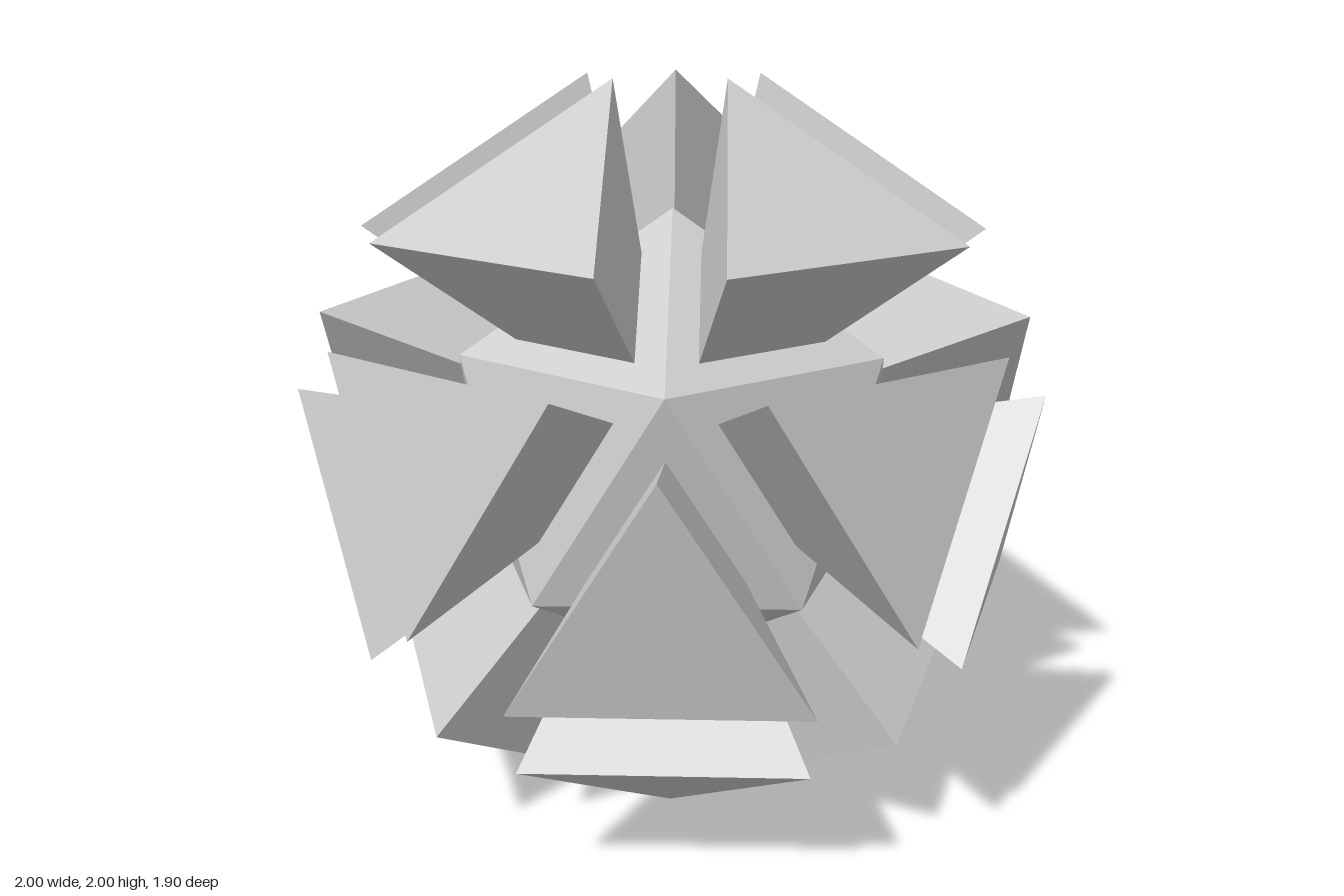
import * as THREE from 'three';

const CORE_RADIUS = 0.654;   // icosahedron in the middle
const CENTRE_Y = 0.999;
const FACE_DISTANCE = 0.939; // centre to the outer face of a spike
const FACE_RADIUS = 0.415;   // circumradius of that outer face

// Triangular pyramid with its base facing outward and its apex at the origin
function wedgeGeometry(corners) {
  const normal = new THREE.Vector3();
  corners.forEach((v) => normal.add(v));
  const centroid = normal.clone().divideScalar(3);
  normal.normalize();

  const [a, b, c] = corners.map((v) =>
    v.clone().sub(centroid).setLength(FACE_RADIUS).addScaledVector(normal, FACE_DISTANCE));
  const apex = new THREE.Vector3();

  const geometry = new THREE.BufferGeometry().setFromPoints([
    a, b, c,
    b, a, apex,
    c, b, apex,
    a, c, apex,
  ]);
  geometry.computeVertexNormals();
  return geometry;
}

export function createModel() {
  const model = new THREE.Group();
  model.name = 'explodedIcosahedron';
  const material = new THREE.MeshStandardMaterial({ color: 0xcccccc, flatShading: true });

  // Core, turned so that one corner points straight up
  const coreGeometry = new THREE.IcosahedronGeometry(CORE_RADIUS, 0);
  coreGeometry.rotateZ(-Math.atan(2 / (1 + Math.sqrt(5))));
  const core = new THREE.Mesh(coreGeometry, material);
  core.name = 'core';
  core.position.y = CENTRE_Y;
  model.add(core);

  // One wedge standing on each of the twenty core faces
  const wedges = new THREE.Group();
  wedges.name = 'wedges';
  wedges.position.y = CENTRE_Y;
  const position = coreGeometry.getAttribute('position');
  for (let i = 0; i < position.count; i += 3) {
    const corners = [0, 1, 2].map((k) => new THREE.Vector3().fromBufferAttribute(position, i + k));
    const wedge = new THREE.Mesh(wedgeGeometry(corners), material);
    wedge.name = `wedge${i / 3 + 1}`;
    wedges.add(wedge);
  }
  model.add(wedges);

  return model;
}
